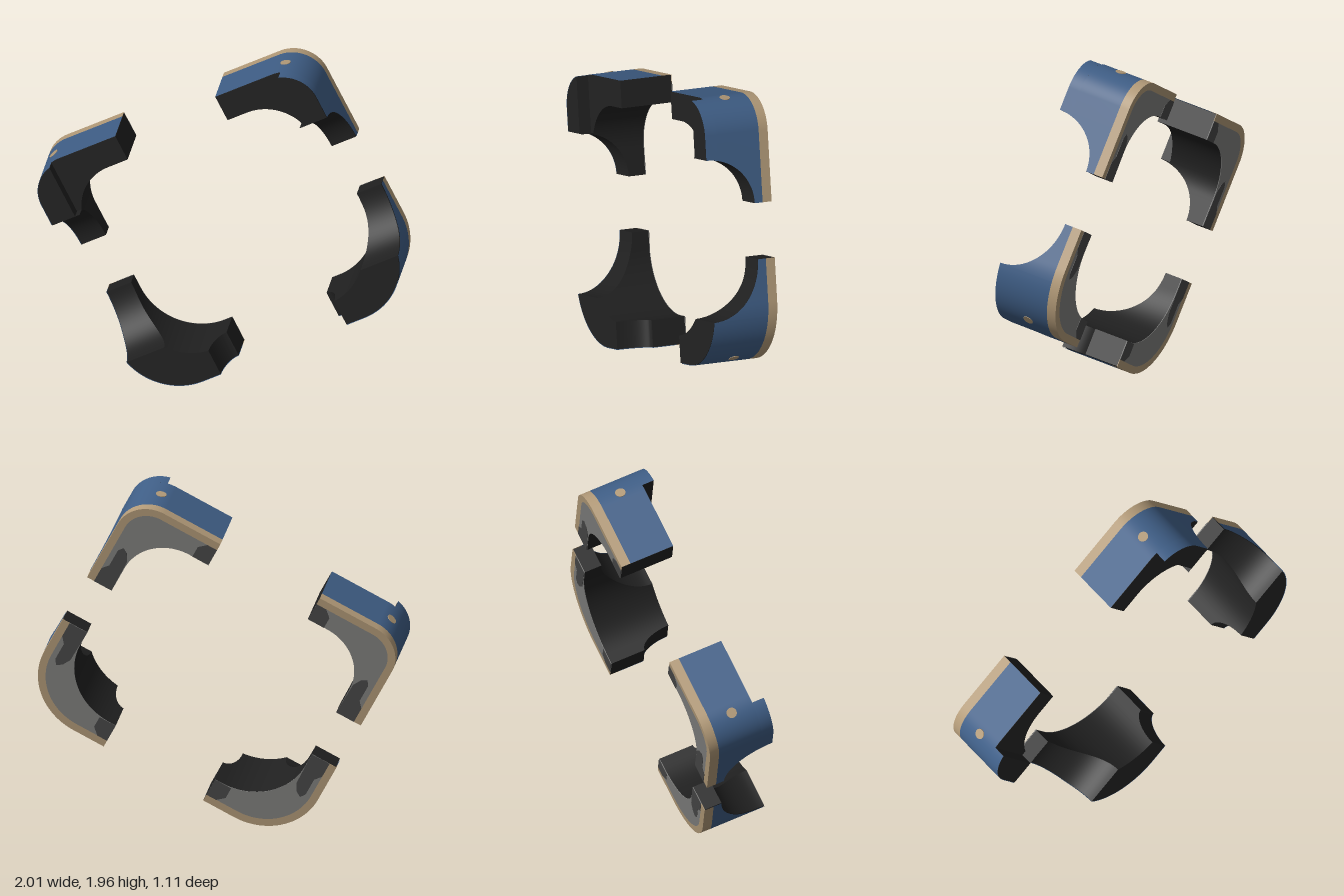
import * as THREE from 'three';
import { toCreasedNormals } from 'three/addons/utils/BufferGeometryUtils.js';

// Guard sizes, in the plane of the frame (a across, b up, w towards the front)
const U = 0.85, V = 0.742, T = 0.15;       // outer sides and arm thickness
const A_END = 0.31, B_END = 0.155;         // arm ends
const TOP_W = 0.38, ARM_W = 0.31, TIP_W = 0.1, SHORT_W = 0.2;
const STEP = 0.71, BAND_W = 0.052, RIM = 0.04, SKIN = 0.003;

// Upper guards have a tight corner and a step, lower ones a wide corner and a scooped arm end
const UPPER = { r: 0.19, ri: 0.27, scoopB: 0.42, stepped: true, studAngle: 0.31 };
const LOWER = { r: 0.35, ri: 0.35, scoopB: 0.478, scoopA: 0.39, stepped: false, studAngle: 0.44 };

const material = (name, color) => {
  const m = new THREE.MeshStandardMaterial({ color, side: THREE.DoubleSide });
  m.name = name;
  return m;
};
const pt = (a, b) => new THREE.Vector2(a, b);

// Rounded corner line with sides at a = u and b = v, running from a = aFrom to b = bTo
function cornerLine(u, v, r, aFrom, bTo) {
  const ca = u - r, cb = v - r;
  const from = aFrom > ca ? Math.acos((aFrom - ca) / r) : Math.PI / 2;
  const to = bTo > cb ? Math.asin((bTo - cb) / r) : 0;
  const line = aFrom < ca ? [pt(aFrom, v)] : [];
  for (let i = 0; i <= 24; i++) {
    const t = from + (to - from) * i / 24;
    line.push(pt(ca + r * Math.cos(t), cb + r * Math.sin(t)));
  }
  if (bTo < cb) line.push(pt(u, bTo));
  return line;
}

// Position of a side u at distance s along it, bending into the corner
function sideAt(s, u, v, r) {
  const past = s - (v - r);
  return past > 0 ? u - r + Math.sqrt(r * r - past * past) : u;
}

function slab(points, w, depth) {
  const g = new THREE.ExtrudeGeometry(new THREE.Shape(points), { depth, bevelEnabled: false });
  g.translate(0, 0, w);
  return toCreasedNormals(g, 0.5);
}

// Curved sheet standing on a line, from w = lo up to hi(point, index)
function sheet(line, lo, hi) {
  const pos = [], index = [];
  line.forEach((p, i) => {
    pos.push(p.x, p.y, lo, p.x, p.y, hi(i));
    if (i) {
      const k = 2 * i;
      index.push(k - 2, k - 1, k, k - 1, k + 1, k);
    }
  });
  const g = new THREE.BufferGeometry();
  g.setAttribute('position', new THREE.Float32BufferAttribute(pos, 3));
  g.setIndex(index);
  g.computeVertexNormals();
  return g;
}

// Apply a matrix; a mirroring one also swaps corners to keep faces outward
function transformed(geometry, matrix) {
  const g = geometry.index ? geometry.toNonIndexed() : geometry.clone();
  g.applyMatrix4(matrix);
  if (matrix.determinant() < 0) {
    for (const { array, count, itemSize: n } of Object.values(g.attributes)) {
      for (let i = 0; i < count; i += 3) {
        for (let k = 0; k < n; k++) {
          const p = (i + 1) * n + k, q = p + n;
          [array[p], array[q]] = [array[q], array[p]];
        }
      }
    }
  }
  return g;
}
const SWAP = new THREE.Matrix4().set(0, 1, 0, 0, 1, 0, 0, 0, 0, 0, 1, 0, 0, 0, 0, 1);

// Arm running along b whose front is scooped by a quarter ellipse, with its outer skin
function scoopedArm(u, v, { r, ri }, end, start, tipW) {
  const along = (t) => end + (start - end) * Math.sin(t * Math.PI / 2);
  const height = (t) => TOP_W - (TOP_W - tipW) * Math.cos(t * Math.PI / 2);
  const body = new THREE.BoxGeometry(1, 1, 1, 1, 20, 1);
  const p = body.attributes.position;
  for (let i = 0; i < p.count; i++) {
    const t = p.getY(i) + 0.5, s = along(t);
    const side = p.getX(i) > 0 ? sideAt(s, u, v, r) : sideAt(s, u - T, v - T, ri);
    p.setXYZ(i, side, s, p.getZ(i) > 0 ? height(t) : 0);
  }
  const steps = Array.from({ length: 21 }, (_, i) => 1 - i / 20);
  const line = steps.map((t) => pt(sideAt(along(t), u + SKIN, v + SKIN, r + SKIN), along(t)));
  return { body: toCreasedNormals(body, 0.5), skin: sheet(line, BAND_W, (i) => height(steps[i])) };
}

// Parts of one guard in its positive corner
function guardParts(spec, mats) {
  const parts = [];
  const part = (name, geometry, mat) => parts.push({ name, geometry, mat });
  const outer = (inset, a = A_END, b = B_END) => cornerLine(U - inset, V - inset, spec.r - inset, a, b);
  const inner = (a = A_END, b = B_END) => cornerLine(U - T, V - T, spec.ri, a, b);

  // Corner body and its skin
  const a0 = spec.stepped ? A_END : spec.scoopA;
  const w0 = spec.stepped ? ARM_W : TOP_W;
  part('cornerBody', slab([...outer(0, a0, spec.scoopB), ...inner(a0, spec.scoopB).reverse()], 0, w0), mats.black);
  part('cornerSkin', sheet(outer(-SKIN, a0, spec.scoopB), BAND_W, () => w0), mats.blue);
  if (spec.stepped) {
    const line = outer(0, STEP, spec.scoopB);
    part('raisedBlock', slab([...line, pt(STEP, spec.scoopB)], ARM_W, TOP_W - ARM_W), mats.black);
    part('raisedSkin', sheet(outer(-SKIN, STEP, spec.scoopB), ARM_W, () => TOP_W), mats.blue);
  } else {
    const arm = scoopedArm(V, U, spec, A_END, spec.scoopA, SHORT_W);
    part('shortArm', transformed(arm.body, SWAP), mats.black);
    part('shortArmSkin', transformed(arm.skin, SWAP), mats.blue);
  }

  // Tapered arm
  const arm = scoopedArm(U, V, spec, B_END, spec.scoopB, TIP_W);
  part('taperedArm', arm.body, mats.black);
  part('taperedArmSkin', arm.skin, mats.blue);

  // Trim around the back edge
  part('edgeBand', sheet(outer(-SKIN), -SKIN, () => BAND_W), mats.tan);
  part('backRim', slab([...outer(-SKIN), ...outer(RIM).reverse()], -SKIN, SKIN), mats.tan);

  // Back face and its end pads
  part('backFace', slab([...outer(RIM), ...inner().reverse()], -SKIN, SKIN), mats.grey);
  part('wideArmPad', slab([
    pt(A_END, V - RIM), pt(A_END + 0.06, V - RIM), pt(A_END + 0.1, V - 0.08),
    pt(A_END + 0.1, V - T), pt(A_END, V - T),
  ], -0.005, 0.003), mats.dark);
  part('taperedArmPad', slab([
    pt(U - RIM, B_END), pt(U - RIM, 0.25), pt(U - 0.07, 0.29), pt(U - 0.07, 0.4),
    pt(U - 0.09, 0.43), pt(U - 0.12, 0.41), pt(U - 0.145, 0.36), pt(U - T, B_END),
  ], -0.005, 0.003), mats.dark);

  // Round stud on the outer shell
  const stud = new THREE.CylinderGeometry(0.029, 0.029, 0.006, 20);
  stud.rotateZ(-spec.studAngle);
  stud.translate(
    U - spec.r + (spec.r + 0.002) * Math.sin(spec.studAngle),
    V - spec.r + (spec.r + 0.002) * Math.cos(spec.studAngle), 0.182);
  part('stud', stud, mats.tan);
  return parts;
}

export function createModel() {
  const mats = {
    black: material('black rubber', 0x202020),
    blue: material('blue shell', 0x3f5e86),
    tan: material('tan trim', 0xb29a78),
    grey: material('grey back', 0x80807e),
    dark: material('dark grey pad', 0x484848),
  };

  // Four mirrored corner guards
  const frame = new THREE.Group();
  frame.name = 'cornerGuards';
  for (const [row, spec, sy] of [['upper', UPPER, 1], ['lower', LOWER, -1]]) {
    const parts = guardParts(spec, mats);
    for (const [side, sx] of [['Left', 1], ['Right', -1]]) {
      const guard = new THREE.Group();
      guard.name = row + side + 'Guard';
      const mirror = new THREE.Matrix4().makeScale(sx, sy, 1);
      for (const p of parts) {
        const mesh = new THREE.Mesh(transformed(p.geometry, mirror), p.mat);
        mesh.name = p.name;
        guard.add(mesh);
      }
      frame.add(guard);
    }
  }

  // Tilt the frame and place it above the ground
  const across = new THREE.Vector3(0.857, 0.466, 0.22).normalize();
  const front = new THREE.Vector3(-0.335, 0.178, 0.927);
  const up = new THREE.Vector3().crossVectors(front, across).normalize();
  front.crossVectors(across, up);
  frame.setRotationFromMatrix(new THREE.Matrix4().makeBasis(across, up, front));
  frame.position.set(0.088, 0.92, -0.164);

  const model = new THREE.Group();
  model.name = 'cornerGuardSet';
  model.add(frame);
  return model;
}
